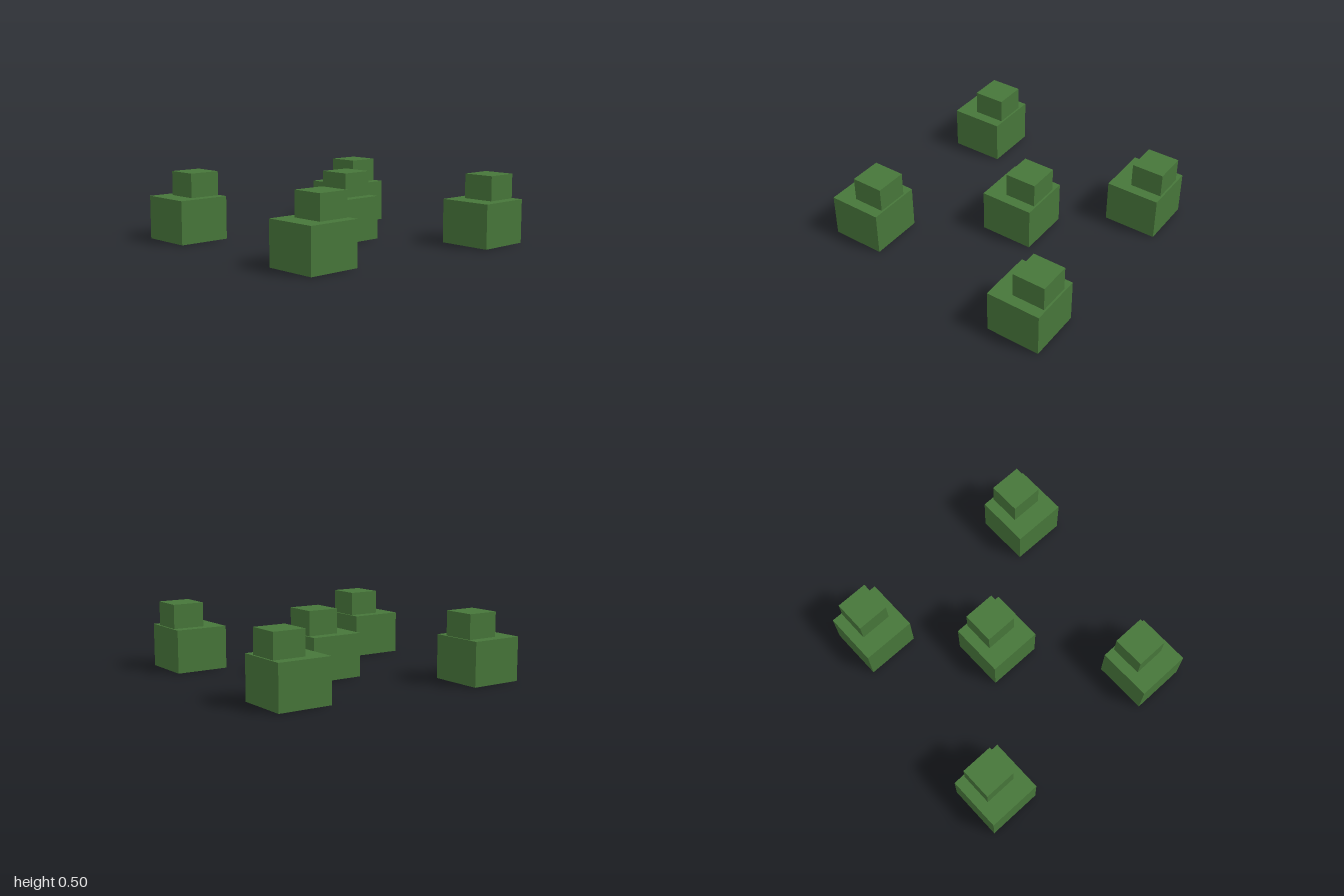
import * as THREE from 'three';

export function createModel() {
  const model = new THREE.Group();
  const leafGreen = new THREE.MeshStandardMaterial({ color: 0x47763a });
  leafGreen.name = 'leaf green';

  // Shared block shapes, each standing on its own base
  const lowerGeometry = new THREE.BoxGeometry(0.4, 0.32, 0.4).translate(0, 0.16, 0);
  const upperGeometry = new THREE.BoxGeometry(0.24, 0.18, 0.24).translate(0, 0.09, 0);

  // One bush: a wide block with a smaller one set off towards +x
  function createBush(x, z) {
    const bush = new THREE.Group();
    bush.name = 'bush';
    const lower = new THREE.Mesh(lowerGeometry, leafGreen);
    lower.name = 'lowerFoliage';
    const upper = new THREE.Mesh(upperGeometry, leafGreen);
    upper.name = 'upperFoliage';
    upper.position.set(0.066, 0.32, 0);
    bush.add(lower, upper);
    bush.position.set(x, 0, z);
    return bush;
  }

  // Scattered patch of five bushes
  const spots = [[-0.735, -0.8], [0.769, -0.655], [0.086, -0.038], [-0.771, 0.62], [0.72, 0.8]];
  for (const [x, z] of spots) model.add(createBush(x, z));

  return model;
}
